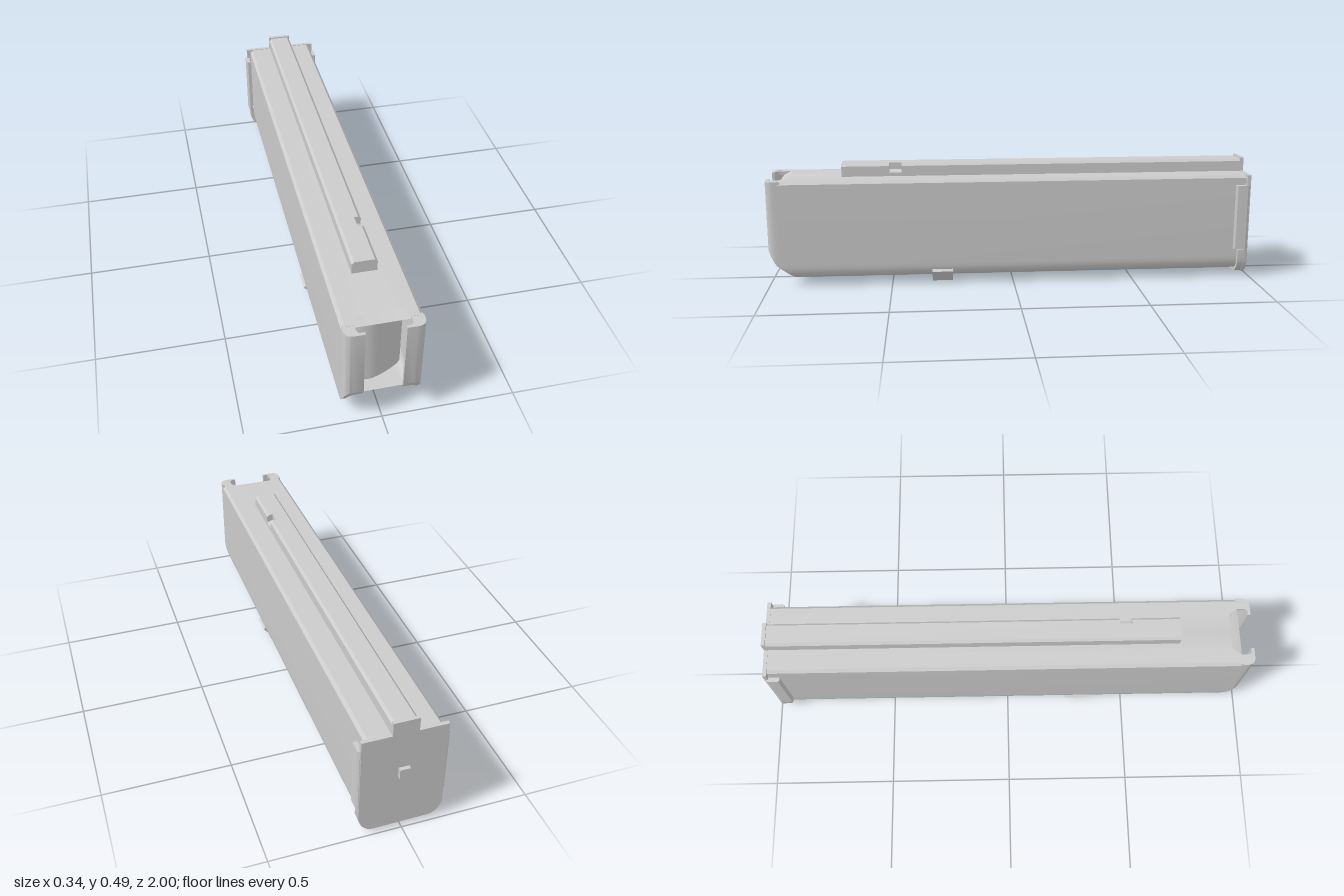
import * as THREE from 'three';
import { toCreasedNormals } from 'three/addons/utils/BufferGeometryUtils.js';

const grey = new THREE.MeshStandardMaterial({ color: 0xcccccc, side: THREE.DoubleSide });

// Closed outline from [x, y] corners; an entry of four numbers is a curve [cx, cy, x, y].
function outline(points, Type = THREE.Shape) {
  const s = new Type();
  points.forEach((p, i) => {
    if (i === 0) s.moveTo(...p);
    else if (p.length === 4) s.quadraticCurveTo(...p);
    else s.lineTo(...p);
  });
  s.closePath();
  return s;
}

// Box section with rounded lower corners and small chamfers at the top.
// The top edge is divided between x = -0.1 and 0.1 so that it can be notched.
function section(w, bottom, top, r, chamfer) {
  const pts = [[-w + r, bottom], [w - r, bottom], [w, bottom, w, bottom + r * 1.3],
    [w, top - chamfer], [w - chamfer, top]];
  for (const x of [0.1, 0.09, 0.075, 0.05, 0, -0.05, -0.075, -0.09, -0.1]) pts.push([x, top]);
  pts.push([-w + chamfer, top], [-w, top - chamfer], [-w, bottom + r * 1.3], [-w, bottom, -w + r, bottom]);
  return pts;
}

function extrudeZ(shape, z0, z1) {
  return new THREE.ExtrudeGeometry(shape, { depth: z1 - z0, bevelEnabled: false, curveSegments: 8 })
    .translate(0, 0, z0);
}

// Extrudes a plan drawn in (x, z) upwards from y0 to y1.
function extrudeY(shape, y0, y1) {
  return new THREE.ExtrudeGeometry(shape, { depth: y1 - y0, bevelEnabled: false, curveSegments: 8 })
    .rotateX(Math.PI / 2).translate(0, y1, 0);
}

function bend(geometry, rule) {
  const p = geometry.attributes.position;
  const v = new THREE.Vector3();
  for (let i = 0; i < p.count; i++) {
    rule(v.fromBufferAttribute(p, i));
    p.setXYZ(i, v.x, v.y, v.z);
  }
  geometry.computeVertexNormals();
  return geometry;
}

export function createModel() {
  const group = new THREE.Group();
  const add = (name, geometry) => {
    const mesh = new THREE.Mesh(toCreasedNormals(geometry, 0.5), grey);
    mesh.name = name;
    group.add(mesh);
    return mesh;
  };
  const box = (name, x0, x1, y0, y1, z0, z1) =>
    add(name, new THREE.BoxGeometry(x1 - x0, y1 - y0, z1 - z0)
      .translate((x0 + x1) / 2, (y0 + y1) / 2, (z0 + z1) / 2));

  // Hollow body, with a sloped lower front and a notch in the top edge
  const bodyShape = outline(section(0.145, 0.03, 0.435, 0.045, 0.012));
  bodyShape.holes.push(outline(section(0.132, 0.048, 0.42, 0.035, 0.008), THREE.Path));
  add('body', bend(extrudeZ(bodyShape, -0.975, 0.95), (v) => {
    if (v.z < 0.9) return;
    if (v.y < 0.075) v.z = 0.89 + 0.06 * (v.y - 0.03) / 0.045;
    else if (v.y > 0.41 && Math.abs(v.x) < 0.101) v.z = 0.91 + 0.04 * (Math.abs(v.x) / 0.1) ** 6;
  }));

  for (const s of [1, -1]) {
    const side = s > 0 ? 'left' : 'right';
    // Curled front lip, its lower edge rising towards the front
    const lip = outline([[s * 0.145, 0.95], [s * 0.145, 0.965], [s * 0.145, 1, s * 0.11, 1],
      [s * 0.072, 1], [s * 0.072, 0.988], [s * 0.105, 0.988], [s * 0.132, 0.985, s * 0.132, 0.95]]);
    add(side + 'FrontLip', bend(extrudeY(lip, 0.05, 0.435), (v) => {
      if (v.y < 0.1) v.y = 0.075 + 0.08 * Math.max(0, (v.z - 0.95) / 0.05) ** 1.5;
    }));
    // Flat top joining the lip to the body
    add(side + 'LipTop', extrudeY(outline([[s * 0.143, 0.94], [s * 0.143, 0.965],
      [s * 0.143, 0.998, s * 0.11, 0.998], [s * 0.074, 0.998], [s * 0.1, 0.99, s * 0.1, 0.965],
      [s * 0.1, 0.94]]), 0.42, 0.434));
    // Clip at the side of the end plate
    add(side + 'Clip', extrudeY(outline([[s * 0.143, -0.98], [s * 0.163, -0.98], [s * 0.17, -0.972],
      [s * 0.17, -0.93], [s * 0.165, -0.925], [s * 0.152, -0.925], [s * 0.152, -0.965],
      [s * 0.143, -0.965]]), 0.125, 0.395));
  }

  // Follower with a bulging front face inside the body
  add('follower', extrudeY(outline([[-0.12, 0.6], [-0.12, 0.82], [-0.06, 0.87, 0, 0.86],
    [0.07, 0.84, 0.12, 0.8], [0.12, 0.6]]), 0.05, 0.41));

  // Top rail in three lengths, the middle one cut away on its left edge
  const rail = outline([[-0.048, 0.43], [0.048, 0.43], [0.048, 0.477], [0.038, 0.487],
    [-0.038, 0.487], [-0.048, 0.477]]);
  const notched = outline([[-0.048, 0.43], [0.048, 0.43], [0.048, 0.45], [0.022, 0.46],
    [0.022, 0.487], [-0.038, 0.487], [-0.048, 0.477]]);
  add('railRear', extrudeZ(rail, -0.975, 0.455));
  add('railNotch', extrudeZ(notched, 0.455, 0.505));
  add('railFront', extrudeZ(rail, 0.505, 0.7));

  // End plate with a raised tab behind the rail
  add('endPlate', extrudeZ(outline([[-0.105, 0.014], [0.105, 0.012], [0.145, 0.015, 0.161, 0.068],
    [0.161, 0.437], [0.049, 0.437], [0.049, 0.492], [-0.049, 0.492], [-0.049, 0.437],
    [-0.161, 0.437], [-0.161, 0.068], [-0.145, 0.015, -0.105, 0.014]]), -0.985, -0.97));

  // Rim of the end plate, wrapped round the bottom of the body
  add('endPlateRim', extrudeZ(outline([[-0.105, 0.016], [0.105, 0.014], [0.143, 0.017, 0.16, 0.068],
    [0.16, 0.12], [0.144, 0.12], [0.144, 0.085], [0.14, 0.04, 0.1, 0.031], [-0.1, 0.031],
    [-0.14, 0.04, -0.144, 0.085], [-0.144, 0.12], [-0.16, 0.12], [-0.16, 0.068],
    [-0.143, 0.017, -0.105, 0.016]]), -0.975, -0.945));

  // Band under the body, slightly lower on the left
  add('bottomBand', extrudeZ(outline([[-0.105, 0.007], [0.105, 0], [0.15, 0.05], [0.14, 0.06],
    [0.1, 0.032], [-0.1, 0.032], [-0.14, 0.06], [-0.15, 0.05]]), 0.25, 0.335));

  // Small catch on the back of the plate
  box('catch', -0.02, 0.02, 0.242, 0.285, -1, -0.98);
  return group;
}
